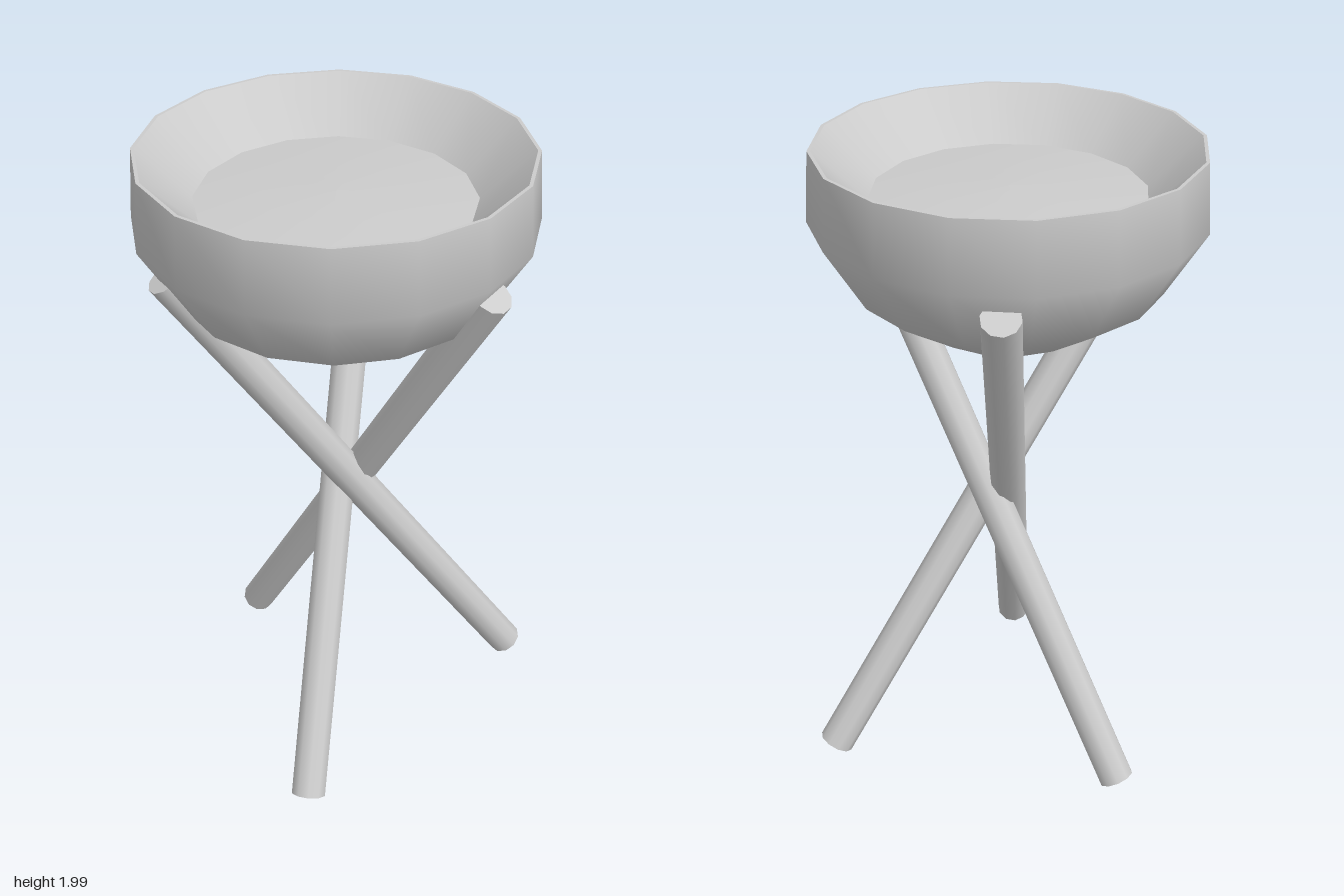
import * as THREE from 'three';

const SIDES = 16;

export function createModel() {
  const group = new THREE.Group();
  const material = new THREE.MeshStandardMaterial({ color: 0xcccccc });

  // Lathed part around the bowl's axis
  const lathe = (name, profile) => {
    const points = profile.map(([r, y]) => new THREE.Vector2(r, y));
    const mesh = new THREE.Mesh(new THREE.LatheGeometry(points, SIDES), material);
    mesh.name = name;
    mesh.position.x = -0.035;
    group.add(mesh);
  };

  // Bowl: rounded shell, thin rim, sloping inside and a slightly domed floor
  lathe('bowlShell', [[0, 1.43], [0.247, 1.477], [0.446, 1.607], [0.562, 1.8], [0.547, 2]]);
  lathe('bowlRim', [[0.547, 2], [0.537, 2]]);
  lathe('bowlInside', [[0.537, 2], [0.39, 1.86]]);
  lathe('bowlFloor', [[0.39, 1.86], [0.2, 1.875], [0, 1.88]]);

  // Round leg between two end points
  const leg = (name, foot, head) => {
    const a = new THREE.Vector3(...foot);
    const b = new THREE.Vector3(...head);
    const axis = b.clone().sub(a);
    const mesh = new THREE.Mesh(new THREE.CylinderGeometry(0.055, 0.055, axis.length(), 10), material);
    mesh.name = name;
    mesh.position.copy(a).add(b).multiplyScalar(0.5);
    mesh.quaternion.setFromUnitVectors(new THREE.Vector3(0, 1, 0), axis.normalize());
    group.add(mesh);
  };

  // Three legs crossing near the middle
  leg('leftLeg', [0.545, 0.065, -0.175], [-0.487, 1.72, 0.2]);
  leg('frontLeg', [-0.12, 0.035, 0.51], [0.05, 1.735, -0.53]);
  leg('backLeg', [-0.335, 0.035, -0.415], [0.375, 1.75, 0.335]);

  return group;
}
